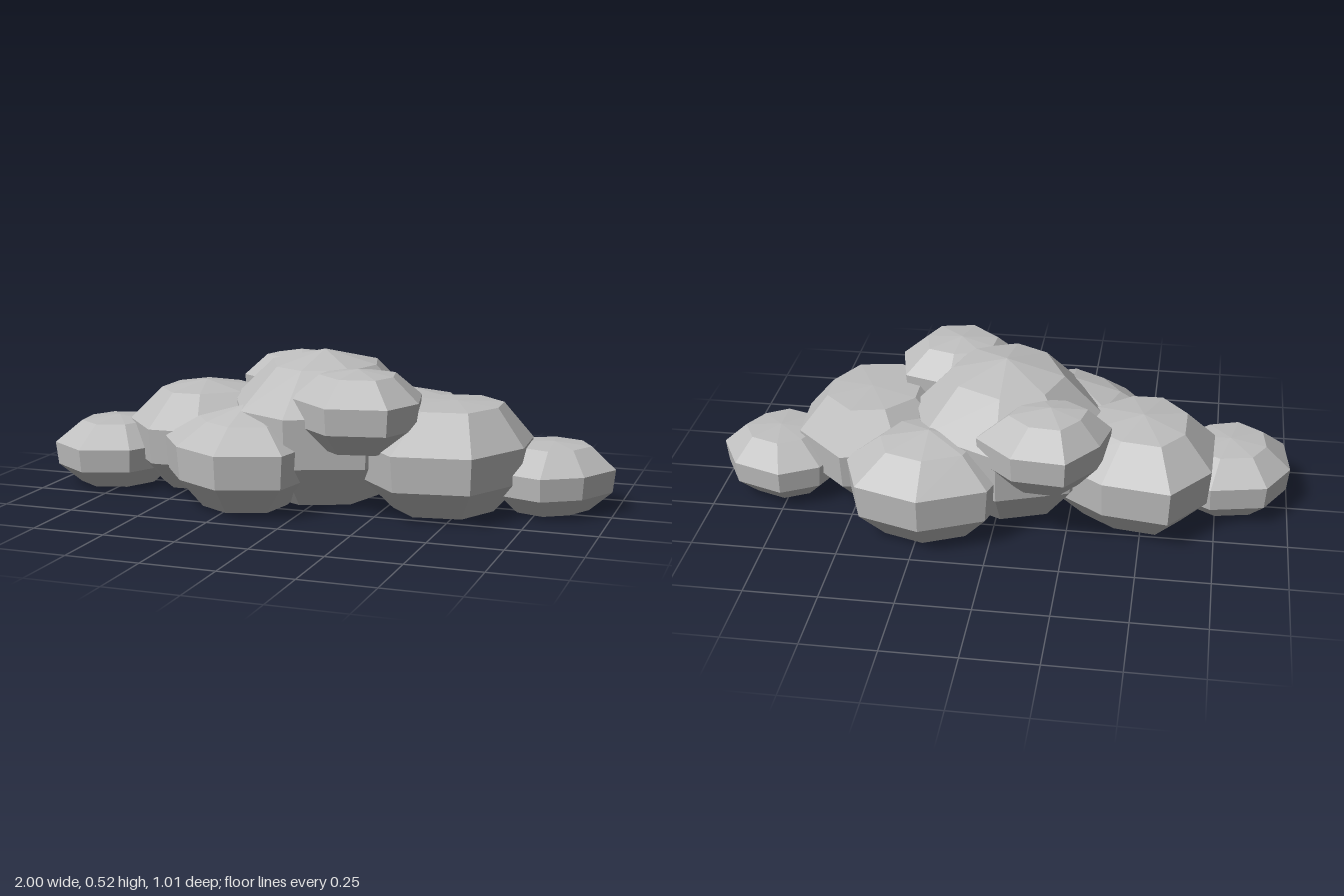
import * as THREE from 'three';

// Eight-sided squashed ball lofted from its widest outline.
// outline: x, z pairs running from the front towards +x; crown: x, z of the top point;
// heights run from the base to the shoulder ring and the crown.
function puffGeometry([base, shoulder, top], crown, outline) {
  const corners = [];
  for (let i = 0; i < 16; i += 2) corners.push(new THREE.Vector2(outline[i], outline[i + 1]));
  const middle = new THREE.Vector2();
  corners.forEach((c) => middle.addScaledVector(c, 1 / 8));
  const peak = new THREE.Vector2(...crown);
  const tall = top - base;

  // ring centre, radius fraction, height
  const rings = [
    [middle, 0, base],
    [middle, 0.62, base + tall * 0.025],
    [middle, 0.96, base + tall * 0.31],
    [middle, 1, base + tall * 0.64],
    [middle.clone().lerp(peak, 0.7), 0.58, shoulder],
    [peak, 0, top],
  ];
  const positions = [];
  const index = [];
  rings.forEach(([centre, r, y], row) => {
    corners.forEach((c, i) => {
      positions.push(centre.x + (c.x - middle.x) * r, y, centre.y + (c.y - middle.y) * r);
      if (row === rings.length - 1) return;
      const a = row * 8 + i;
      const b = row * 8 + ((i + 1) % 8);
      if (row > 0) index.push(a, b, b + 8);
      if (row < rings.length - 2) index.push(a, b + 8, a + 8);
      else index.push(a, b, a + 8);
    });
  });
  const geo = new THREE.BufferGeometry();
  geo.setAttribute('position', new THREE.Float32BufferAttribute(positions, 3));
  geo.setIndex(index);
  geo.computeVertexNormals();
  return geo;
}

export function createModel() {
  const cloud = new THREE.Group();
  cloud.name = 'cloud';
  const cloudGrey = new THREE.MeshStandardMaterial({ color: 0xbebebe, flatShading: true });
  cloudGrey.name = 'cloud grey';

  const addPuff = (name, heights, crown, outline) => {
    const puff = new THREE.Mesh(puffGeometry(heights, crown, outline), cloudGrey);
    puff.name = name;
    cloud.add(puff);
  };

  // Tall middle
  addPuff('centrePuff', [0, 0.473, 0.52], [-0.01, 0],
    [-0.03, 0.37, 0.23, 0.27, 0.31, 0, 0.24, -0.24, -0.02, -0.37, -0.27, -0.28, -0.36, -0.03, -0.22, 0.27]);

  // Puffs towards the left end
  addPuff('leftPuff', [0, 0.36, 0.37], [0.47, 0.02],
    [0.6, 0.33, 0.72, 0.1, 0.71, -0.1, 0.53, -0.27, 0.33, -0.23, 0.18, -0.06, 0.18, 0.2, 0.34, 0.37]);
  addPuff('leftEndPuff', [0, 0.225, 0.235], [0.79, -0.06],
    [0.79, 0.17, 0.92, 0.09, 1, -0.06, 0.92, -0.21, 0.75, -0.27, 0.62, -0.2, 0.56, -0.05, 0.64, 0.12]);

  // Puffs towards the right end
  addPuff('rightPuff', [0, 0.35, 0.375], [-0.49, -0.07],
    [-0.4, 0.235, -0.2, 0.07, -0.19, -0.2, -0.37, -0.33, -0.6, -0.365, -0.73, -0.2, -0.735, 0.06, -0.58, 0.24]);
  addPuff('rightEndPuff', [0, 0.232, 0.245], [-0.79, 0.04],
    [-0.83, 0.285, -0.66, 0.23, -0.57, 0.06, -0.6, -0.1, -0.73, -0.18, -0.92, -0.14, -1, 0, -0.98, 0.18]);

  // Low puffs in front and behind
  addPuff('frontPuff', [0, 0.3, 0.35], [-0.22, 0.22],
    [-0.22, 0.505, -0.01, 0.43, 0.03, 0.22, -0.05, 0.02, -0.24, -0.06, -0.44, 0, -0.52, 0.23, -0.4, 0.4]);
  addPuff('backPuff', [0, 0.325, 0.36], [0.22, -0.25],
    [0.23, 0.03, 0.42, -0.06, 0.51, -0.25, 0.44, -0.44, 0.22, -0.51, 0, -0.41, -0.05, -0.24, 0.03, -0.05]);

  // Raised puffs resting on the middle
  addPuff('upperFrontPuff', [0.22, 0.473, 0.49], [0.18, 0.21],
    [0.14, 0.44, 0.34, 0.4, 0.4, 0.25, 0.36, 0.07, 0.2, 0.02, 0.04, 0.06, -0.02, 0.16, -0.03, 0.29]);
  addPuff('upperBackPuff', [0.21, 0.455, 0.475], [-0.19, -0.25],
    [-0.12, -0.1, 0, -0.2, 0.05, -0.32, -0.08, -0.44, -0.26, -0.455, -0.36, -0.32, -0.39, -0.19, -0.26, -0.1]);
  return cloud;
}
